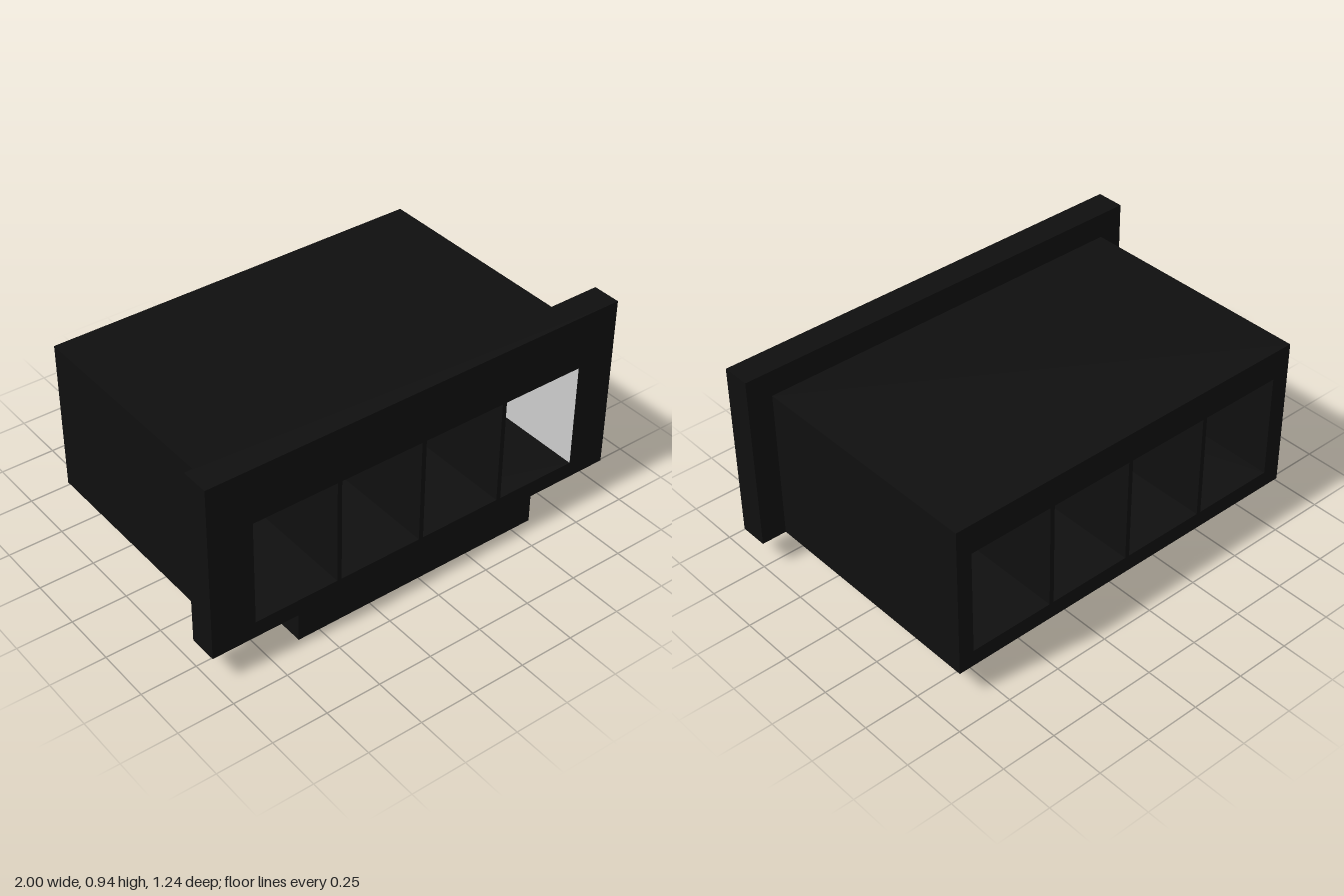
import * as THREE from 'three';

const dark = new THREE.MeshStandardMaterial({ color: 0x0f0f0f });
const grey = new THREE.MeshStandardMaterial({ color: 0xcccccc });

const BASE = 0.13, FRONT = 0.62, FLANGE_BACK = 0.49, BACK = -0.62;
const SLOT = { left: -0.8, width: 0.388, pitch: 0.409, bottom: 0.205, top: 0.69 };

function rectangle(x0, x1, y0, y1, Path = THREE.Shape) {
  return new Path([[x0, y0], [x1, y0], [x1, y1], [x0, y1]].map(p => new THREE.Vector2(...p)));
}

// A block along z, pierced by the four slots
function slottedBlock(name, halfWidth, top, z0, z1) {
  const shape = rectangle(-halfWidth, halfWidth, BASE, top);
  for (let i = 0; i < 4; i++) {
    const x = SLOT.left + i * SLOT.pitch;
    shape.holes.push(rectangle(x, x + SLOT.width, SLOT.bottom, SLOT.top, THREE.Path));
  }
  const geometry = new THREE.ExtrudeGeometry(shape, { depth: z1 - z0, bevelEnabled: false });
  geometry.translate(0, 0, z0);
  const mesh = new THREE.Mesh(geometry, dark);
  mesh.name = name;
  return mesh;
}

// U-shaped rail under the body, with flared catches at the ends of its arms
function clipRail() {
  const arm = [[0.6, FRONT], [0.6, -0.11], [0.69, -0.23], [0.58, -0.435], [0.5, -0.435], [0.5, 0.51]];
  const mirrored = arm.map(([x, z]) => [-x, z]).reverse();
  const shape = new THREE.Shape([...arm, ...mirrored].map(([x, z]) => new THREE.Vector2(x, -z)));
  const geometry = new THREE.ExtrudeGeometry(shape, { depth: BASE, bevelEnabled: false });
  geometry.rotateX(-Math.PI / 2);
  const mesh = new THREE.Mesh(geometry, dark);
  mesh.name = 'clipRail';
  return mesh;
}

// Pale lining on the outer wall of the last slot
function slotLining() {
  const geometry = new THREE.PlaneGeometry(FRONT - BACK, SLOT.top - SLOT.bottom);
  geometry.rotateY(-Math.PI / 2);
  const mesh = new THREE.Mesh(geometry, grey);
  mesh.position.set(SLOT.left + 3 * SLOT.pitch + SLOT.width - 0.002, (SLOT.top + SLOT.bottom) / 2, 0);
  mesh.name = 'slotLining';
  return mesh;
}

export function createModel() {
  const model = new THREE.Group();
  model.name = 'slottedHousing';
  model.add(
    slottedBlock('body', 0.885, 0.825, BACK, FLANGE_BACK),
    slottedBlock('frontFlange', 1, 0.94, FLANGE_BACK, FRONT),
    clipRail(),
    slotLining(),
  );
  return model;
}
